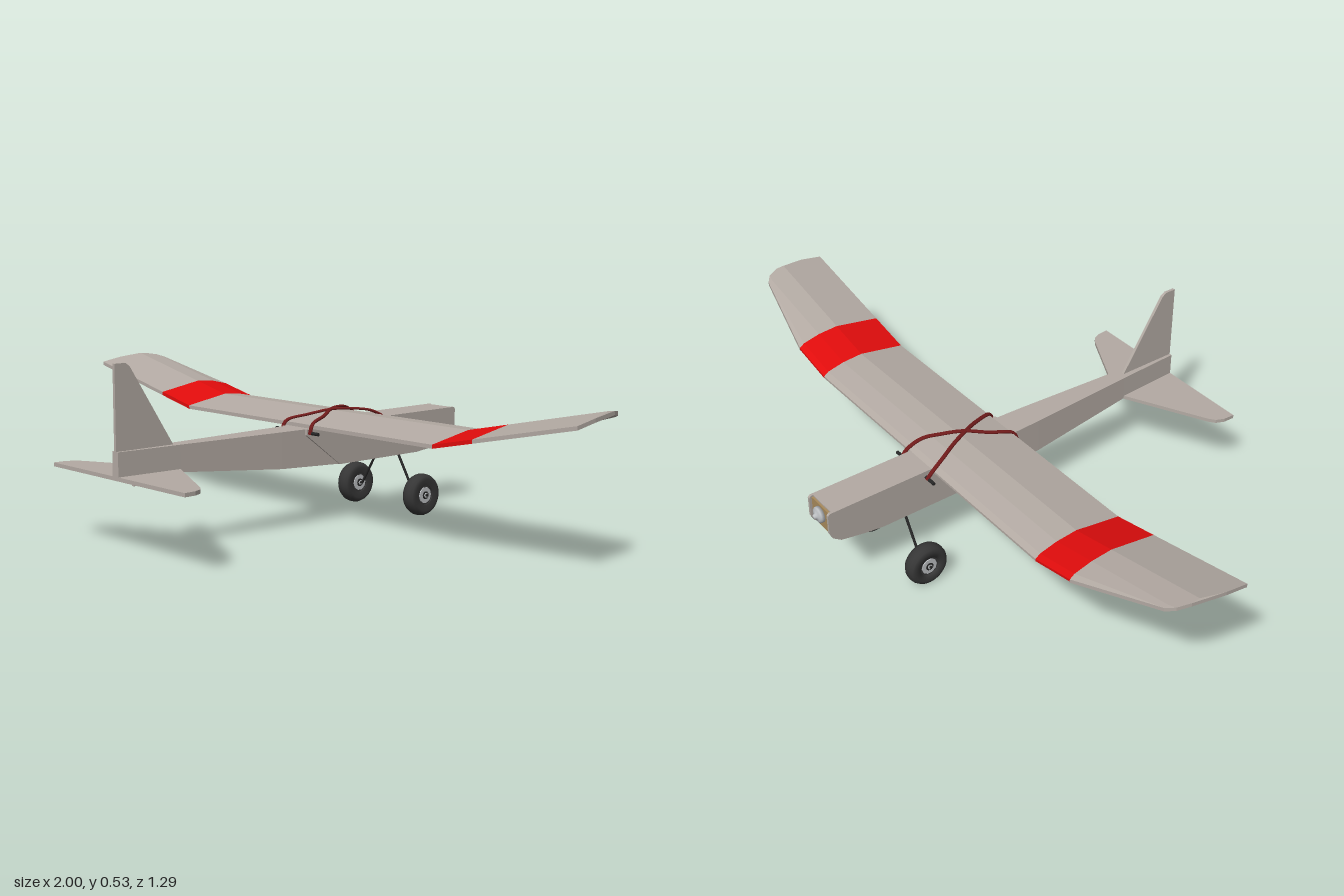
import * as THREE from 'three';

const mat = (name, color, side = THREE.FrontSide) => {
  const m = new THREE.MeshStandardMaterial({ color, side });
  m.name = name;
  return m;
};

export function createModel() {
  const foam = mat('foam', 0xb3aaa3), red = mat('red', 0xe00c0c), rubber = mat('rubber', 0x363636),
    wire = mat('wire', 0x262626), band = mat('band', 0x741c1c), metal = mat('metal', 0xbcbfc2),
    wood = mat('wood', 0xa88a5c);
  const model = new THREE.Group();
  const add = (name, geo, material, x = 0, y = 0, z = 0, parent = model) => {
    const m = new THREE.Mesh(geo, material);
    m.name = name;
    m.position.set(x, y, z);
    parent.add(m);
    return m;
  };

  // Flat-shaded skin over closed rings of equal length; caps join ring point i to its opposite
  const loft = (rings) => {
    const p = [], n = rings[0].length;
    const quad = (a, b, c, d) => p.push(...a, ...b, ...c, ...a, ...c, ...d);
    for (let s = 0; s < rings.length - 1; s++)
      for (let i = 0; i < n; i++) {
        const j = (i + 1) % n, A = rings[s], B = rings[s + 1];
        quad(A[i], B[i], B[j], A[j]);
      }
    const F = rings[0], L = rings[rings.length - 1];
    for (let i = 0; i < n / 2 - 1; i++) {
      quad(F[i], F[i + 1], F[n - 2 - i], F[n - 1 - i]);
      quad(L[i], L[n - 1 - i], L[n - 2 - i], L[i + 1]);
    }
    const g = new THREE.BufferGeometry();
    g.setAttribute('position', new THREE.Float32BufferAttribute(p, 3));
    g.computeVertexNormals();
    return g;
  };
  const shapeOf = (pts) => new THREE.Shape(pts.map(([a, b]) => new THREE.Vector2(a, b)));
  // Upright plate from a (z, y) outline, centred on x = 0
  const sidePlate = (pts, t) => new THREE.ExtrudeGeometry(shapeOf(pts), { depth: t, bevelEnabled: false })
    .translate(0, 0, -t / 2).rotateY(-Math.PI / 2);
  const rod = (name, a, b, r, material) => {
    const A = new THREE.Vector3(...a), B = new THREE.Vector3(...b);
    const m = add(name, new THREE.CylinderGeometry(r, r, A.distanceTo(B), 10), material);
    m.position.copy(A).add(B).multiplyScalar(0.5);
    m.quaternion.setFromUnitVectors(new THREE.Vector3(0, 1, 0), B.sub(A).normalize());
  };

  // Fuselage: tapering box, recessed under the nose [z, half width, bottom, top]
  const body = [
    [0.645, 0.013, 0.215, 0.293], [0.445, 0.022, 0.217, 0.293], [0.097, 0.042, 0.186, 0.293],
    [-0.124, 0.05, 0.177, 0.293], [-0.29, 0.05, 0.177, 0.293], [-0.291, 0.05, 0.177, 0.302],
    [-0.455, 0.05, 0.177, 0.302], [-0.5, 0.05, 0.182, 0.302], [-0.502, 0.05, 0.215, 0.302],
    [-0.615, 0.05, 0.222, 0.302]];
  add('fuselage', loft(body.map(([z, w, b, t]) => [[w, t, z], [w, b, z], [-w, b, z], [-w, t, z]].reverse())), foam);
  const cheek = [[-0.124, 0.176], [0.01, 0.276], [0.01, 0.293], [-0.29, 0.293], [-0.29, 0.302], [-0.622, 0.302],
    [-0.628, 0.296], [-0.628, 0.235], [-0.618, 0.215], [-0.593, 0.197], [-0.51, 0.182], [-0.455, 0.176]];
  for (const s of [-1, 1]) add('cheekPlate', sidePlate(cheek, 0.008), foam, s * 0.049);

  // Nose: firewall, motor and battery
  add('firewall', new THREE.BoxGeometry(0.088, 0.072, 0.006), wood, 0, 0.262, -0.618);
  add('battery', new THREE.BoxGeometry(0.055, 0.02, 0.08), metal, 0, 0.209, -0.55);
  add('batteryTray', new THREE.BoxGeometry(0.088, 0.006, 0.015), wire, 0, 0.199, -0.583);
  const motor = [[0.001, 0], [0.024, 0], [0.024, 0.012], [0.018, 0.016], [0.008, 0.018], [0.006, 0.025], [0.001, 0.026]];
  add('motor', new THREE.LatheGeometry(motor.map(([r, y]) => new THREE.Vector2(r, y)), 20).rotateX(-Math.PI / 2),
    metal, 0, 0.268, -0.619);

  // Wing: cambered sheet, closed below the front half of the inner panels
  const camber = [[-0.29, 0.3], [-0.275, 0.311], [-0.22, 0.324], [-0.155, 0.329], [-0.01, 0.304]];
  const topY = (z) => {
    let i = 0;
    while (i < camber.length - 2 && z > camber[i + 1][0]) i++;
    const [z0, y0] = camber[i], [z1, y1] = camber[i + 1];
    return y0 + (y1 - y0) * (z - z0) / (z1 - z0);
  };
  const chord = [-0.01, -0.08, -0.13, -0.132, -0.155, -0.19, -0.22, -0.25, -0.275, -0.29];
  const section = (x, lead, closed) => {
    const rise = Math.max(0, Math.abs(x) - 0.525) * 0.217;
    const zs = chord.map((z) => Math.max(z, lead));
    const top = zs.map((z) => [x, topY(z) + rise, z]);
    const low = zs.map((z) => [x, (closed && z < -0.131 ? 0.293 : topY(z) - 0.011) + rise, z]);
    return [...top, ...low.reverse()];
  };
  const panel = (name, stations, closed, material) =>
    add(name, loft(stations.map(([x, lead]) => section(x, lead, closed))), material);
  panel('wingCentre', [[-0.525, -0.29], [0.525, -0.29]], true, foam);
  const tip = [[0.665, -0.29], [0.947, -0.233], [0.97, -0.215], [0.985, -0.18], [1, -0.08]];
  for (const s of [-1, 1]) {
    const side = (list) => (s > 0 ? list : list.map(([x, z]) => [-x, z]).reverse());
    panel('wingStripe', side([[0.525, -0.29], [0.665, -0.29]]), true, red);
    panel('wingTip', side(tip), false, foam);
  }

  // Tail surfaces
  const half = [[0.02, 0.445], [0.265, 0.57], [0.285, 0.585], [0.296, 0.61], [0.298, 0.645]];
  const tailOutline = [...half, ...half.map(([x, z]) => [-x, z]).reverse()];
  add('tailplane', new THREE.ExtrudeGeometry(shapeOf(tailOutline), { depth: 0.011, bevelEnabled: false })
    .rotateX(Math.PI / 2), foam, 0, 0.226, 0);
  add('fin', sidePlate([[0.455, 0.29], [0.645, 0.29], [0.645, 0.526], [0.61, 0.526], [0.597, 0.517]], 0.009), foam);
  add('tailSkid', sidePlate([[0.5, 0.217], [0.59, 0.217], [0.59, 0.194], [0.575, 0.194], [0.51, 0.209]], 0.009), foam);

  // Rubber bands crossed over the wing and their dowels
  for (const z of [-0.31, 0]) rod('dowel', [-0.092, 0.282, z], [0.092, 0.282, z], 0.005, wire);
  for (const s of [-1, 1]) {
    const path = [[0.06, 0.28, -0.314], [0.062, 0.3, -0.298], [0.052, 0.326, -0.25], [0.028, 0.334, -0.2],
      [0, 0.335, -0.14], [-0.035, 0.322, -0.075], [-0.058, 0.309, -0.012], [-0.062, 0.295, 0], [-0.062, 0.278, 0.004]];
    for (const o of [0, 0.005]) {
      const curve = new THREE.CatmullRomCurve3(path.map(([x, y, z]) => new THREE.Vector3(s * (x + o), y, z)));
      add('rubberBand', new THREE.TubeGeometry(curve, 40, 0.004, 6), band);
    }
  }

  // Landing gear: wire legs, tyres and hubs
  const tyre = [[0.03, -0.02], [0.048, -0.024], [0.058, -0.02], [0.063, -0.01], [0.064, 0], [0.063, 0.01],
    [0.058, 0.02], [0.048, 0.024], [0.03, 0.02], [0.03, -0.02]];
  for (const s of [-1, 1]) {
    rod('gearLeg', [s * 0.04, 0.185, -0.38], [s * 0.112, 0.065, -0.38], 0.004, wire);
    rod('axle', [s * 0.112, 0.065, -0.38], [s * 0.17, 0.065, -0.38], 0.004, wire);
    const wheel = new THREE.Group();
    wheel.name = 'wheel';
    wheel.position.set(s * 0.142, 0.064, -0.38);
    wheel.rotation.z = Math.PI / 2;
    model.add(wheel);
    add('tyre', new THREE.LatheGeometry(tyre.map(([r, y]) => new THREE.Vector2(r, y)), 32), rubber, 0, 0, 0, wheel);
    add('rim', new THREE.CylinderGeometry(0.031, 0.031, 0.032, 24), rubber, 0, 0, 0, wheel);
    add('hub', new THREE.CylinderGeometry(0.025, 0.025, 0.038, 10), metal, 0, 0, 0, wheel);
    add('hubCap', new THREE.CylinderGeometry(0.012, 0.012, 0.042, 12), wire, 0, 0, 0, wheel);
    add('hubNut', new THREE.CylinderGeometry(0.008, 0.008, 0.046, 6), metal, 0, 0, 0, wheel);
  }
  return model;
}
